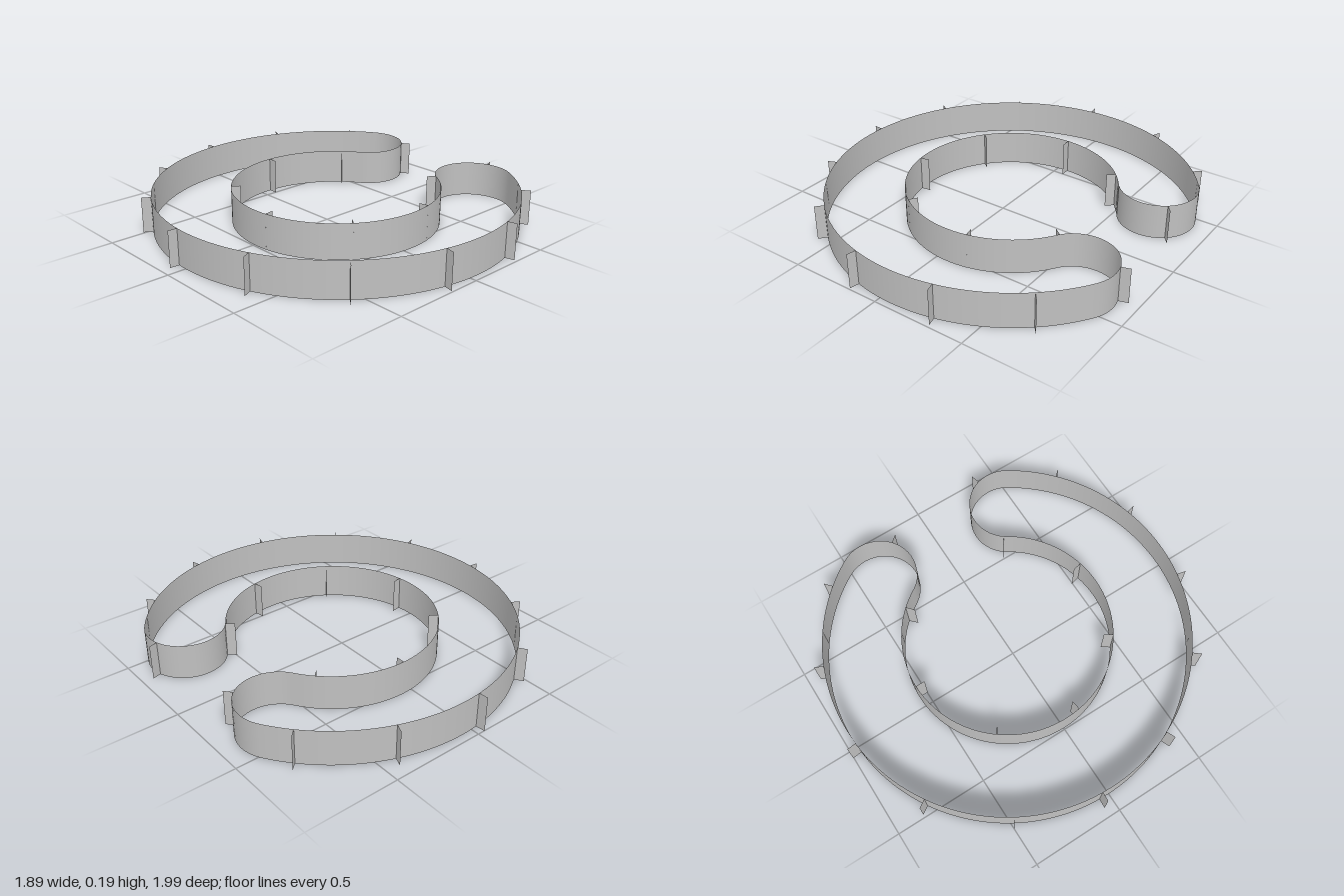
import * as THREE from 'three';

const HEIGHT = 0.19, FIN_LENGTH = 0.05;
const CX = 0.06, CZ = 0.005;               // centre of the C
const INNER = 0.552, OUTER = 0.962;        // wall radii
const HALF_GAP = THREE.MathUtils.degToRad(32.3);

// Closed C outline in plan (x, z), starting at the back of the inner arc
function makeOutline() {
  const mid = (INNER + OUTER) / 2, tip = (OUTER - INNER) / 2, a = HALF_GAP;
  const tx = CX + mid * Math.cos(a), dz = mid * Math.sin(a);
  const path = new THREE.CurvePath();
  const arc = (x, z, r, from, to, clockwise) =>
    path.add(new THREE.EllipseCurve(x, z, r, r, from, to, clockwise));
  arc(CX, CZ, INNER, -Math.PI / 2, -a, false);
  arc(tx, CZ - dz, tip, Math.PI - a, -a, true);
  arc(CX, CZ, OUTER, -a, a, true);
  arc(tx, CZ + dz, tip, a, a - Math.PI, true);
  arc(CX, CZ, INNER, a, Math.PI * 1.5, false);
  return path;
}

// Outward direction of the outline at t
function outward(path, t) {
  const d = path.getTangent(t);
  return new THREE.Vector2(-d.y, d.x);
}

export function createModel() {
  const group = new THREE.Group();
  group.name = 'cShapedWall';
  const grey = new THREE.MeshStandardMaterial({ color: 0xc0c0c0, side: THREE.DoubleSide });
  grey.name = 'grey';
  const outline = makeOutline();

  // Wall: a flat strip wrapped round the outline
  const strip = new THREE.PlaneGeometry(1, HEIGHT, 320, 1);
  const pos = strip.attributes.position, nor = strip.attributes.normal;
  for (let i = 0; i < pos.count; i++) {
    const t = THREE.MathUtils.clamp(pos.getX(i) + 0.5, 0, 1);
    const p = outline.getPoint(t), n = outward(outline, t);
    pos.setXYZ(i, p.x, pos.getY(i) + HEIGHT / 2, p.y);
    nor.setXYZ(i, n.x, 0, n.y);
  }
  const wall = new THREE.Mesh(strip, grey);
  wall.name = 'wall';
  group.add(wall);

  // Upright fins at even steps, standing out from the wall
  const finShape = new THREE.PlaneGeometry(FIN_LENGTH, HEIGHT);
  const step = 0.4525 / outline.getLength();
  for (let i = 0; i < 20; i++) {
    const p = outline.getPoint(i * step), n = outward(outline, i * step);
    const fin = new THREE.Mesh(finShape, grey);
    fin.name = 'fin' + (i + 1);
    fin.position.set(p.x + n.x * FIN_LENGTH / 2, HEIGHT / 2, p.y + n.y * FIN_LENGTH / 2);
    fin.rotation.y = Math.atan2(-n.y, n.x);
    group.add(fin);
  }
  return group;
}
